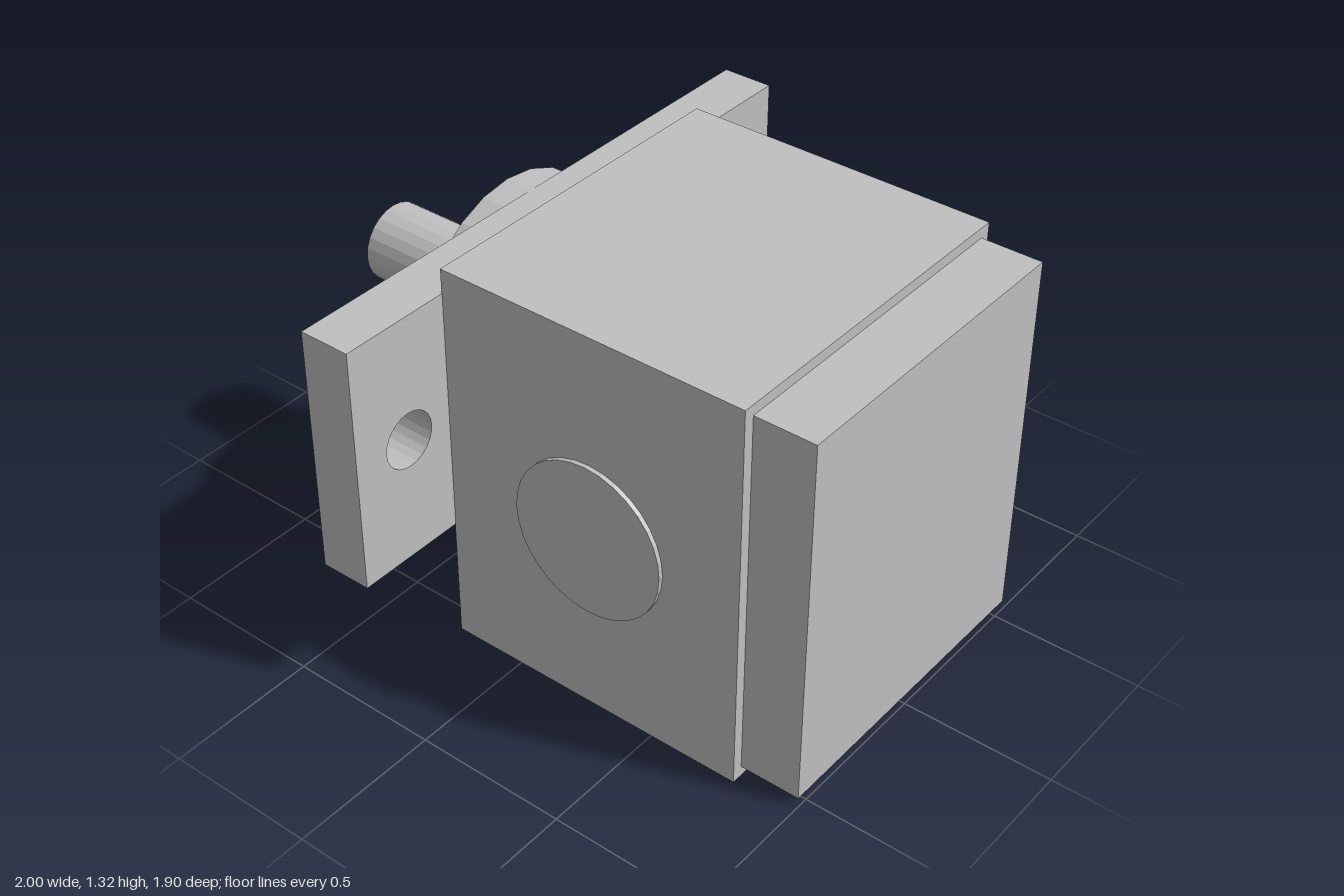
import * as THREE from 'three';

export function createModel() {
  const model = new THREE.Group();
  model.name = 'gearPump';
  const metal = new THREE.MeshStandardMaterial({ color: 0xc0c0c0, flatShading: true });
  metal.name = 'plain grey metal';

  const add = (name, geometry, x, y, z) => {
    const mesh = new THREE.Mesh(geometry, metal);
    mesh.name = name;
    mesh.position.set(x, y, z);
    model.add(mesh);
    return mesh;
  };

  // Housing and the slightly smaller end cover
  add('housing', new THREE.BoxGeometry(1.045, 1.315, 1.15), 0.2775, 0.6575, 0);
  add('endCover', new THREE.BoxGeometry(0.2, 1.245, 1.08), 0.9, 0.6575, 0);

  // Mounting flange with two bolt holes
  const axisY = 0.825;
  const plate = new THREE.Shape();
  plate.moveTo(-0.95, -0.41);
  plate.lineTo(0.95, -0.41);
  plate.lineTo(0.95, 0.41);
  plate.lineTo(-0.95, 0.41);
  plate.closePath();
  for (const side of [-1, 1]) {
    plate.holes.push(new THREE.Path().absarc(side * 0.74, 0, 0.092, 0, Math.PI * 2, true));
  }
  const flange = new THREE.ExtrudeGeometry(plate, { depth: 0.17, bevelEnabled: false, curveSegments: 12 });
  flange.rotateY(Math.PI / 2);
  add('mountingFlange', flange, -0.413, axisY, 0);

  // Pilot boss and drive shaft along x
  const disc = (radius, length, sides) => new THREE.CylinderGeometry(radius, radius, length, sides);
  add('pilotBoss', disc(0.41, 0.1, 24).rotateZ(Math.PI / 2), -0.46, axisY, 0);
  add('driveShaft', disc(0.13, 0.49, 24).rotateZ(Math.PI / 2), -0.755, axisY, 0);

  // Shallow round ports: the rear one is larger
  add('frontPort', disc(0.26, 0.04, 32).rotateX(Math.PI / 2), 0.278, 0.627, 0.57);
  add('rearPort', disc(0.327, 0.04, 32).rotateX(Math.PI / 2), 0.278, 0.627, -0.575);

  return model;
}
